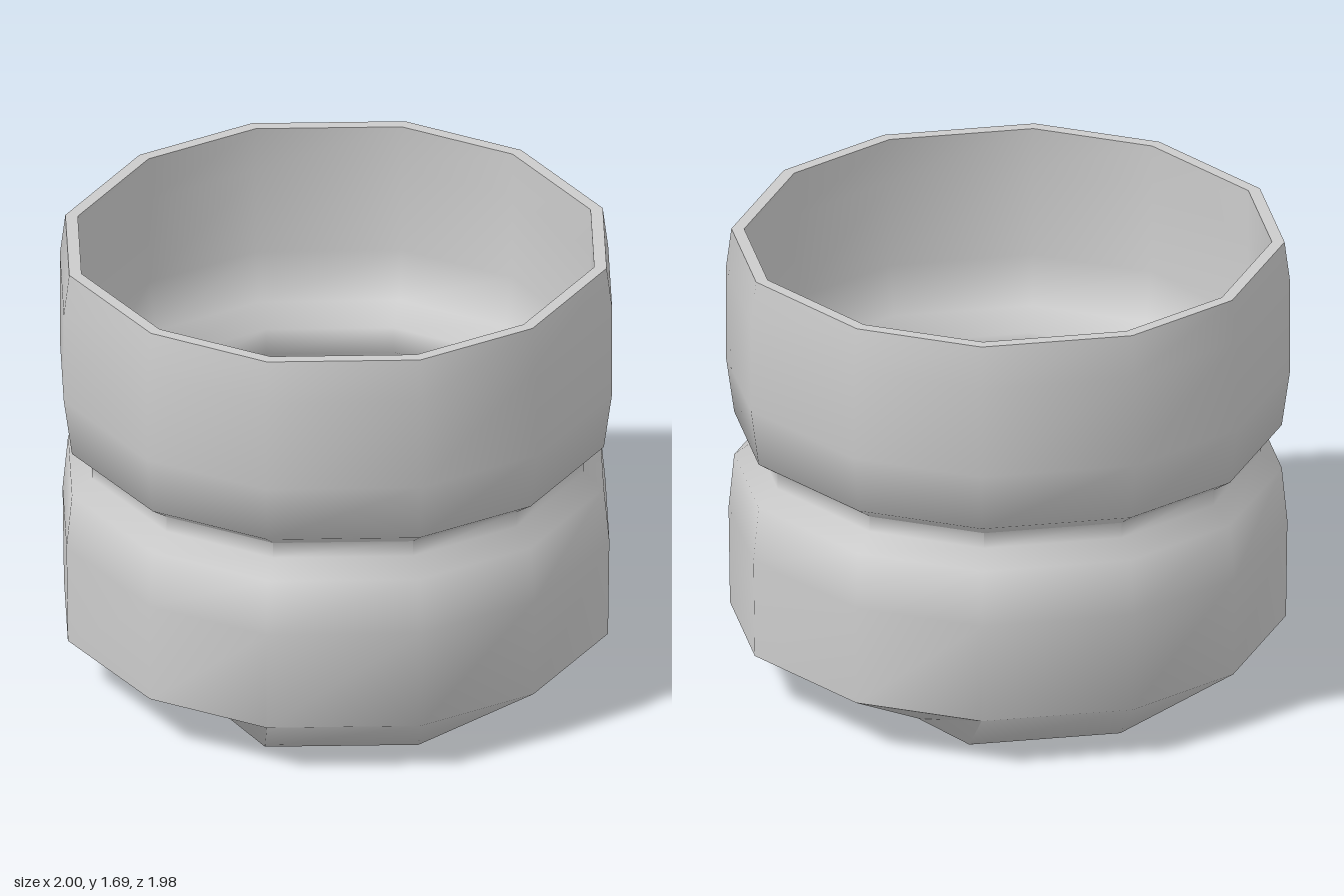
import * as THREE from 'three';
import { toCreasedNormals } from 'three/addons/utils/BufferGeometryUtils.js';

// Corners of one quarter (x, z), from front to side
const WALL = [[0.285, 0.99], [0.71, 0.74], [1, 0.25]];
const BASE = [[0.28, 0.73], [0.42, 0.465], [0.56, 0.2]];

// Mirror a quarter into a closed twelve-sided ring, counter-clockwise from above
function ring(quarter, scale, y) {
  const points = [];
  [[1, 1], [1, -1], [-1, -1], [-1, 1]].forEach(([sx, sz], i) => {
    const part = i % 2 ? [...quarter].reverse() : quarter;
    for (const [x, z] of part) points.push([x * sx * scale, y, z * sz * scale]);
  });
  return points;
}

// Join rings in order; a scale of zero closes the skin at a centre point
function loft(rings) {
  const index = [];
  const n = rings[0].length;
  const last = rings.length - 2;
  for (let r = 0; r <= last; r++) {
    for (let j = 0; j < n; j++) {
      const k = (j + 1) % n;
      const a = r * n + j, b = r * n + k;
      const c = b + n, d = a + n;
      if (r > 0) index.push(a, b, c);
      if (r < last) index.push(a, c, d);
      else continue;
      if (r === 0) continue;
    }
  }
  const geometry = new THREE.BufferGeometry();
  geometry.setAttribute('position', new THREE.Float32BufferAttribute(rings.flat(2), 3));
  geometry.setIndex(index);
  return toCreasedNormals(geometry, Math.PI / 3);
}

export function createModel() {
  const group = new THREE.Group();
  group.name = 'cup';

  // Outer wall [scale, height], bottom to rim, with the waist groove
  const outer = [
    [0.985, 0.2], [0.99, 0.58], [0.97, 0.79], [0.897, 0.85], [0.897, 0.91],
    [0.97, 0.96], [1, 1.18], [1, 1.53], [0.98, 1.69],
  ];
  // Inner wall, rim to floor, following the outer wall
  const inner = [
    [0.935, 1.69], [0.935, 1.52], [0.93, 1.19], [0.9, 1.0], [0.815, 0.93],
    [0.815, 0.83], [0.9, 0.75], [0.92, 0.57], [0.91, 0.25],
  ];
  const wall = ([scale, y]) => ring(WALL, scale, y);

  const rings = [
    ring(BASE, 0, 0), ring(BASE, 1, 0),
    ...outer.map(wall), ...inner.map(wall),
    ring(BASE, 0.97, 0.07), ring(BASE, 0, 0.07),
  ];
  const body = new THREE.Mesh(loft(rings), new THREE.MeshStandardMaterial({ color: 0xcccccc }));
  body.name = 'cupBody';
  group.add(body);
  return group;
}
